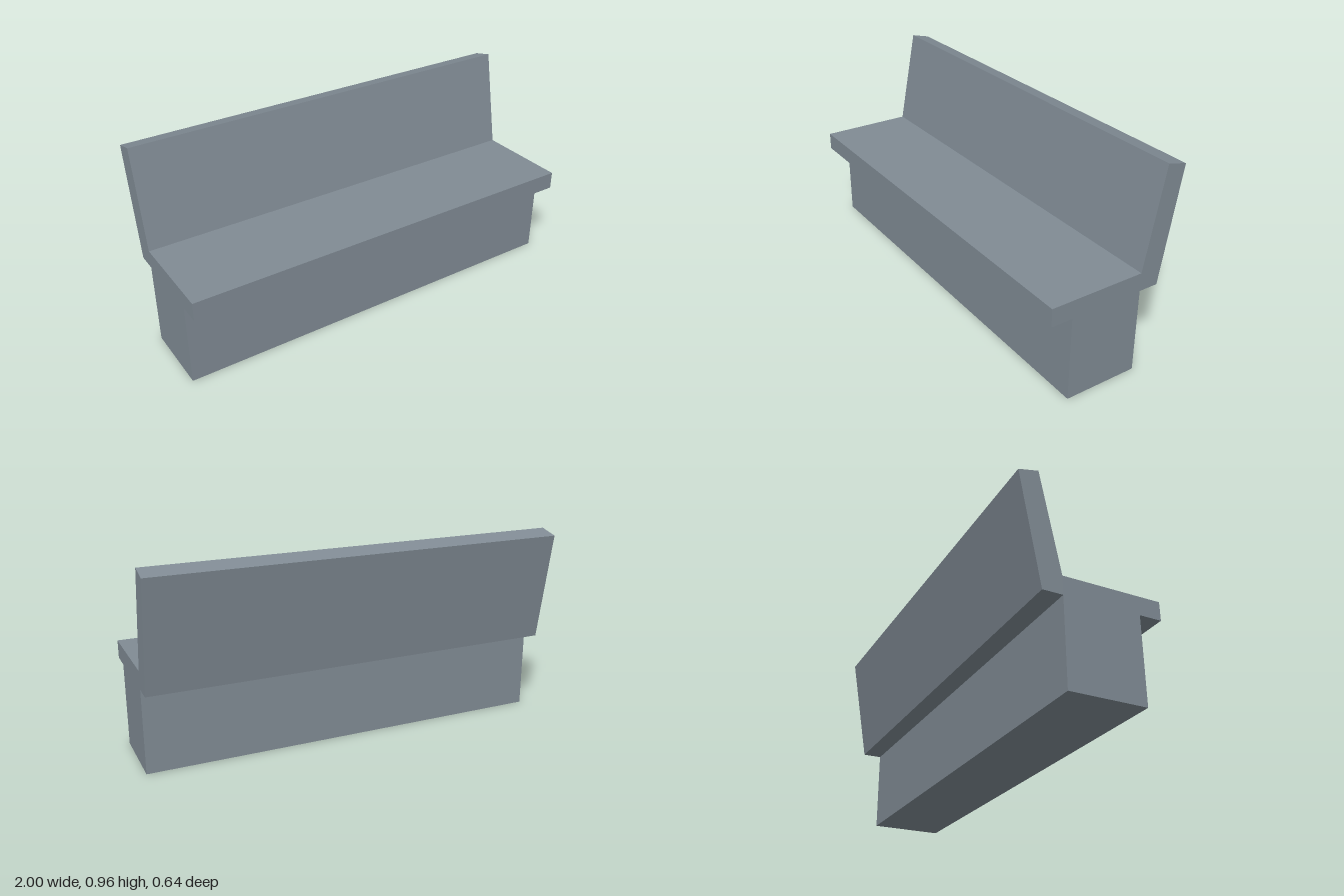
import * as THREE from 'three';

export function createModel() {
  const model = new THREE.Group();
  model.name = 'bench';

  const slate = new THREE.MeshStandardMaterial({ color: 0x808b94 });
  slate.name = 'slate grey';

  // Side profile as [z, y]: plinth, overhanging seat and leaning backrest in one solid
  const profile = [
    [0.217, 0], [0.217, 0.4], [0.32, 0.4], [0.32, 0.486],
    [-0.137, 0.486], [-0.227, 0.956], [-0.32, 0.933],
    [-0.23, 0.4], [-0.137, 0.4], [-0.137, 0],
  ];
  const shape = new THREE.Shape(profile.map(([z, y]) => new THREE.Vector2(-z, y)));

  // Extrude along the bench's length, then turn it to run along x
  const geometry = new THREE.ExtrudeGeometry(shape, { depth: 2, bevelEnabled: false });
  geometry.translate(0, 0, -1);
  geometry.rotateY(Math.PI / 2);

  const body = new THREE.Mesh(geometry, slate);
  body.name = 'benchBody';
  model.add(body);
  return model;
}
